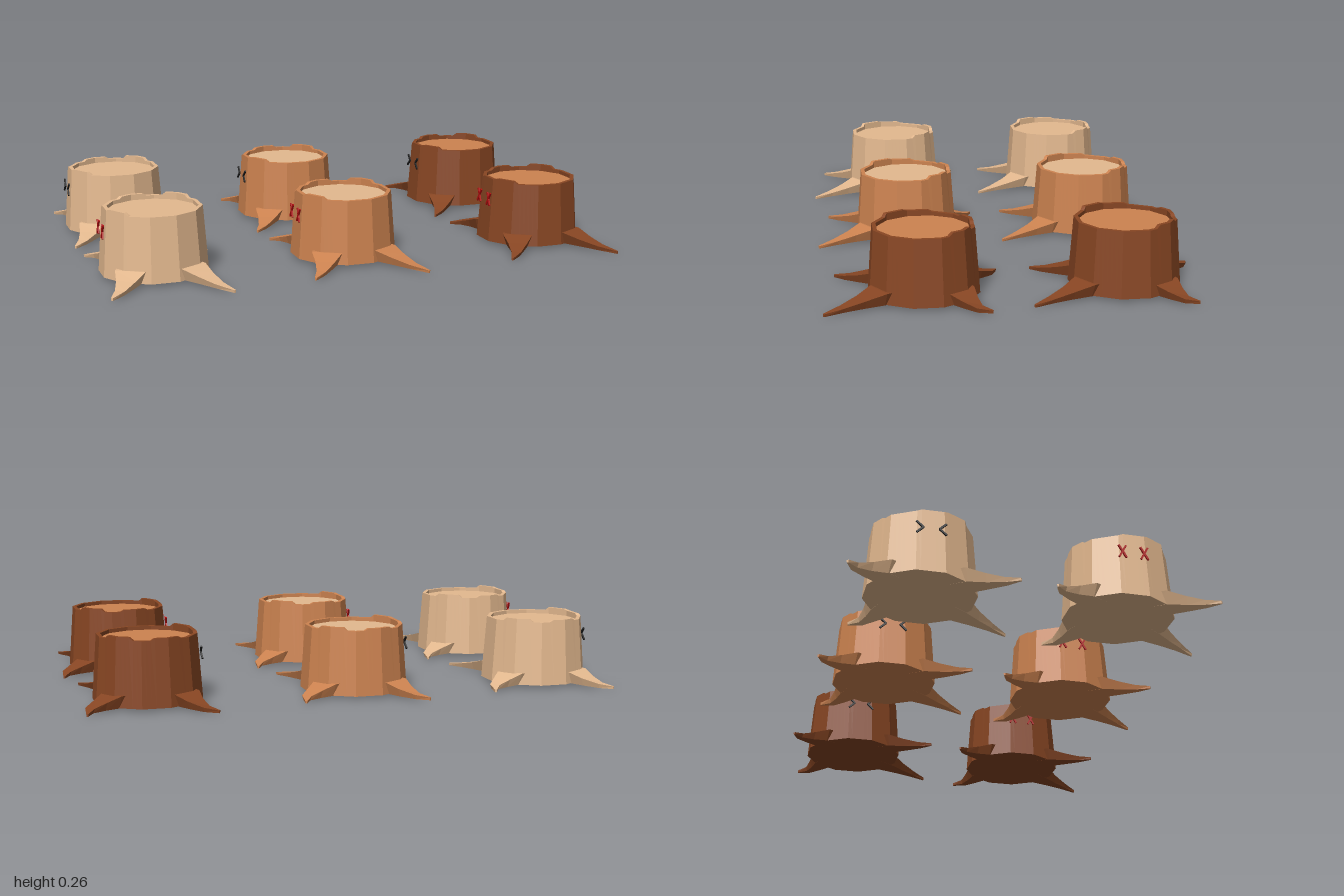
import * as THREE from 'three';

const SIDES = 12;
const STEP = Math.PI / 6;
const RIM = 0.25;

// Raised pieces of the rim: [from degrees, to degrees, height], measured from +x towards +z
const RIM_CHIPS = [[135, 160, 0.262], [165, 190, 0.257], [240, 270, 0.258], [300, 330, 0.262]];

function material(name, color) {
  const m = new THREE.MeshStandardMaterial({ color, flatShading: true });
  m.name = name;
  return m;
}

// Tapered twelve-sided trunk with a hollow top and a stepped rim;
// each side is divided finely so that the rim can step up steeply
function trunkGeometry() {
  const profile = [[0, 0.01], [0.202, 0.01], [0.184, RIM], [0.169, RIM], [0.169, 0.236]]
    .map(([r, y]) => new THREE.Vector2(r, y));
  const g = new THREE.LatheGeometry(profile, SIDES * 6, STEP / 2);
  const p = g.attributes.position;
  for (let i = 0; i < p.count; i++) {
    const x = p.getX(i), z = p.getZ(i);
    const angle = (Math.atan2(z, x) + Math.PI * 2) % (Math.PI * 2);
    const offset = angle - Math.round(angle / STEP) * STEP;
    const flat = Math.cos(STEP / 2) / Math.cos(offset);
    p.setX(i, x * flat);
    p.setZ(i, z * flat);
    const deg = Math.round(THREE.MathUtils.radToDeg(angle));
    const chip = RIM_CHIPS.find(([from, to]) => deg >= from && deg <= to);
    if (chip && p.getY(i) > RIM - 0.001) p.setY(i, chip[2]);
  }
  g.computeVertexNormals();
  return g;
}

// Root lofted along a path of [x, z] points: broad on top, narrower below, with a thin tip
function rootGeometry(path) {
  const halfWidth = [0.062, 0.057, 0.036, 0.019, 0.004];
  const top = [0.058, 0.055, 0.036, 0.02, 0.01];
  const bottom = [0.01, 0.009, 0.006, 0.003, 0];
  const pos = [], index = [];
  path.forEach(([x, z], i) => {
    const a = path[Math.max(i - 1, 0)], b = path[Math.min(i + 1, path.length - 1)];
    const len = Math.hypot(b[0] - a[0], b[1] - a[1]);
    const sx = -(b[1] - a[1]) / len, sz = (b[0] - a[0]) / len;
    const w = halfWidth[i];
    [[-w * 0.7, bottom[i]], [-w, top[i]], [w, top[i]], [w * 0.7, bottom[i]]]
      .forEach(([s, y]) => pos.push(x + sx * s, y, z + sz * s));
  });
  const last = (path.length - 1) * 4;
  for (let i = 0; i < last; i += 4) {
    for (let k = 0; k < 4; k++) {
      const a = i + k, b = i + (k + 1) % 4;
      index.push(a, b, a + 4, b, b + 4, a + 4);
    }
  }
  index.push(last, last + 2, last + 3, last, last + 1, last + 2);
  const g = new THREE.BufferGeometry();
  g.setAttribute('position', new THREE.Float32BufferAttribute(pos, 3));
  g.setIndex(index);
  g.computeVertexNormals();
  return g;
}

const ROOTS = {
  backRightRoot: [[-0.08, -0.1], [-0.115, -0.155], [-0.135, -0.205], [-0.165, -0.255], [-0.207, -0.283]],
  backLeftRoot: [[0.09, -0.09], [0.145, -0.115], [0.19, -0.14], [0.232, -0.17], [0.247, -0.215]],
  frontRightRoot: [[-0.08, 0.1], [-0.12, 0.155], [-0.147, 0.21], [-0.18, 0.265], [-0.217, 0.308]],
  frontLeftRoot: [[0.07, 0.1], [0.11, 0.165], [0.138, 0.225], [0.17, 0.29], [0.208, 0.357]],
};

export function createModel() {
  const model = new THREE.Group();
  model.name = 'treeStumps';

  const pale = material('paleWood', 0xe4b98f);
  const medium = material('mediumWood', 0xcd8350);
  const dark = material('darkWood', 0x884623);
  const red = material('redMark', 0xb00c0c);
  const black = material('blackMark', 0x1c1c1c);

  const trunkGeo = trunkGeometry();
  const topGeo = new THREE.CircleGeometry(0.169, SIDES, STEP / 2).rotateX(-Math.PI / 2).translate(0, 0.236, 0);
  const crossGeo = new THREE.BoxGeometry(0.006, 0.056, 0.007);
  const chevronGeo = new THREE.BoxGeometry(0.006, 0.034, 0.007);
  const rootGeos = Object.entries(ROOTS).map(([name, path]) => [name, rootGeometry(path)]);

  const add = (group, name, geo, mat) => {
    const mesh = new THREE.Mesh(geo, mat);
    mesh.name = name;
    group.add(mesh);
    return mesh;
  };

  // Pair of eyes on the side: red crosses or black chevrons
  function addEyes(stump, crossed) {
    for (const side of [-1, 1]) {
      const eye = new THREE.Group();
      eye.name = side < 0 ? 'backEye' : 'frontEye';
      eye.position.set(-0.193, 0.178, side * 0.04);
      eye.rotation.z = -0.07;
      for (const tilt of [-1, 1]) {
        const stroke = add(eye, 'eyeStroke', crossed ? crossGeo : chevronGeo, crossed ? red : black);
        stroke.rotation.x = tilt * (crossed ? 0.5 : 0.8 * side);
        if (!crossed) stroke.position.y = tilt * 0.011;
      }
      stump.add(eye);
    }
  }

  const columns = [
    { name: 'paleStump', x: -0.783, bark: pale, wood: pale },
    { name: 'mediumStump', x: -0.042, bark: medium, wood: pale },
    { name: 'darkStump', x: 0.746, bark: dark, wood: medium },
  ];

  for (const { name, x, bark, wood } of columns) {
    for (const z of [-0.402, 0.32]) {
      const stump = new THREE.Group();
      stump.name = name + (z > 0 ? 'Front' : 'Back');
      stump.position.set(x, 0, z);
      add(stump, 'trunk', trunkGeo, bark);
      add(stump, 'cutTop', topGeo, wood);
      for (const [rootName, geo] of rootGeos) add(stump, rootName, geo, bark);
      addEyes(stump, z > 0);
      model.add(stump);
    }
  }
  return model;
}
